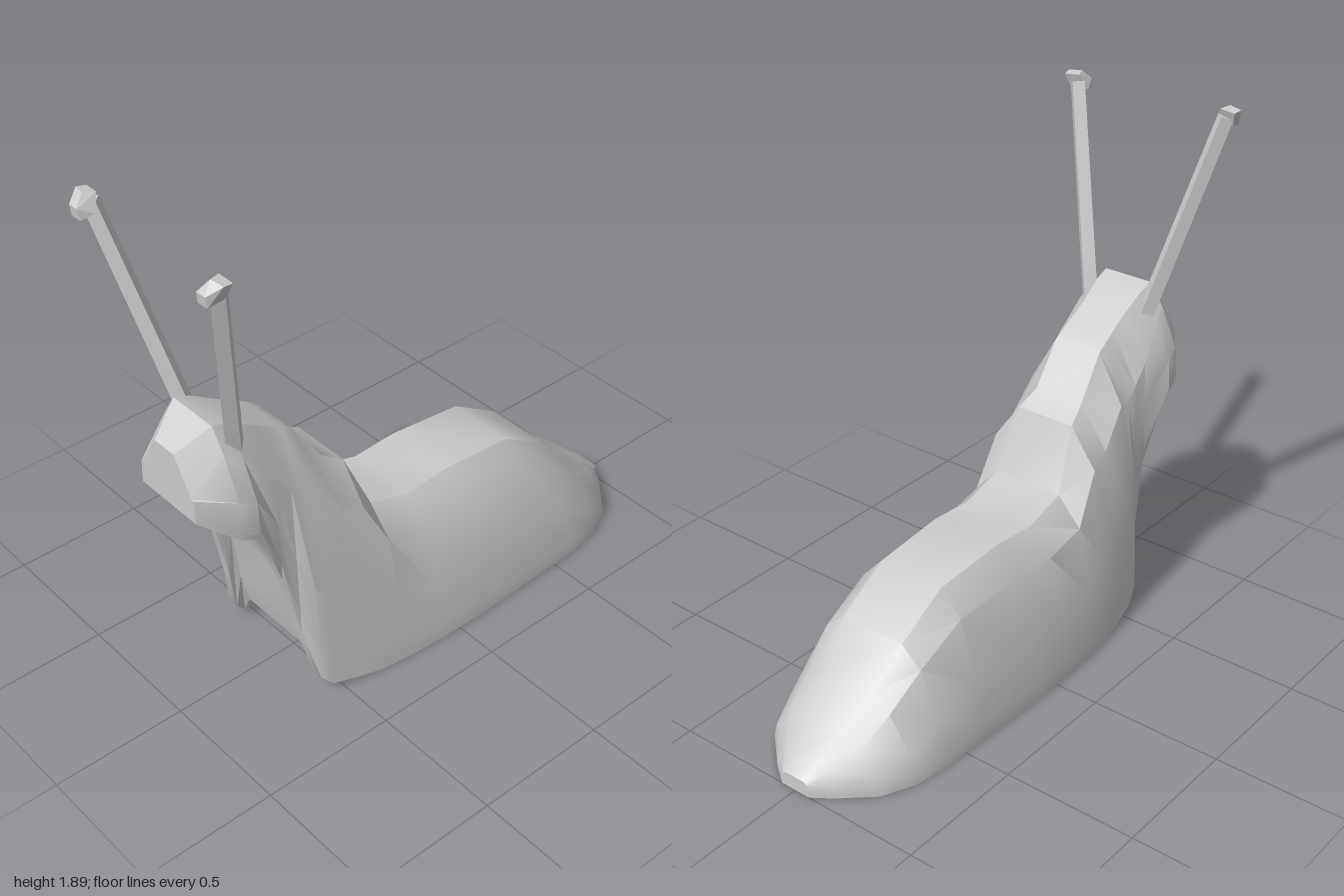
import * as THREE from 'three';
import { toCreasedNormals } from 'three/addons/utils/BufferGeometryUtils.js';
import { ConvexGeometry } from 'three/addons/geometries/ConvexGeometry.js';

const material = new THREE.MeshStandardMaterial({ color: 0xcccccc });

// Straight-line curve through [z, value] keys
function curve(keys) {
  return (z) => {
    const i = Math.max(1, keys.findIndex(([k]) => z <= k));
    const [z0, v0] = keys[i - 1], [z1, v1] = keys[i];
    return THREE.MathUtils.mapLinear(z, z0, z1, v0, v1);
  };
}

// Outlines of the body along z, tail to nose
const stations = [-1, -0.95, -0.85, -0.73, -0.6, -0.4, -0.1, 0.08, 0.25, 0.35, 0.43, 0.54, 0.585, 0.63, 0.69, 0.79, 0.85, 0.965];
const backY = curve([[-1, 0.055], [-0.85, 0.18], [-0.73, 0.28], [-0.6, 0.42], [-0.4, 0.54], [-0.1, 0.565],
  [0.08, 0.55], [0.25, 0.6], [0.35, 0.83], [0.43, 0.88], [0.54, 1.04], [0.79, 1.19], [0.85, 1.21], [0.965, 1.13]]);
const bellyY = curve([[-1, 0], [0.35, 0], [0.54, 0.03], [0.585, 0.08], [0.69, 0.56], [0.79, 0.8], [0.85, 0.825], [0.965, 0.91]]);
const panelY = curve([[-1, 0], [0.35, 0], [0.54, 0.1], [0.585, 0.25], [0.63, 0.5], [0.69, 0.7], [0.79, 0.8], [0.85, 0.825], [0.965, 0.91]]);
const panelX = curve([[-1, 0.03], [-0.73, 0.2], [0.54, 0.2], [0.63, 0.16], [0.69, 0.15], [0.79, 0.16], [0.965, 0.1]]);
const sideX = curve([[-1, 0.06], [-0.95, 0.13], [-0.85, 0.24], [-0.73, 0.295], [-0.6, 0.315], [0, 0.337],
  [0.25, 0.32], [0.43, 0.295], [0.585, 0.26], [0.63, 0.218], [0.69, 0.208], [0.79, 0.24], [0.85, 0.228], [0.965, 0.142]]);
const shoulderX = curve([[-1, 0.055], [-0.85, 0.16], [-0.6, 0.21], [-0.1, 0.23], [0.25, 0.235], [0.54, 0.2],
  [0.69, 0.195], [0.79, 0.17], [0.85, 0.155], [0.965, 0.13]]);
const topX = curve([[-1, 0.04], [-0.6, 0.13], [0.08, 0.14], [0.25, 0.14], [0.43, 0.1], [0.69, 0.09], [0.85, 0.1], [0.965, 0.05]]);

// Proportions that vary along the body
const footRatio = curve([[-1, 1], [0.65, 1], [0.79, 0.92], [0.965, 1]]);
const flankRatio = curve([[-1, 0.97], [-0.6, 0.89], [0.35, 0.9], [0.65, 0.96], [0.965, 0.97]]);
const shoulderRatio = curve([[-1, 0.84], [0.54, 0.82], [0.69, 0.72], [0.85, 0.78], [0.965, 0.42]]);

// Half section at z: throat panel, flange, foot edge, lower side, flank, shoulder, top edge
function halfSection(z) {
  const low = bellyY(z), height = backY(z) - low;
  const side = sideX(z), foot = side * footRatio(z), panel = panelX(z);
  return [
    [panel, panelY(z)],
    [THREE.MathUtils.lerp(panel, foot, 0.45), low],
    [foot, low],
    [side, low + height * 0.11],
    [side * flankRatio(z), low + height * 0.4],
    [shoulderX(z), low + height * shoulderRatio(z)],
    [topX(z), low + height],
  ];
}

// Mirrors each half section into a ring, skins the rings and closes both ends
function loftBody() {
  const positions = [], index = [];
  for (const z of stations) {
    const half = halfSection(z);
    const ring = [...half, ...half.map(([x, y]) => [-x, y]).reverse()];
    ring.forEach(([x, y]) => positions.push(x, y, z));
  }
  const n = 14, last = (stations.length - 1) * n;
  for (let i = 0; i < stations.length - 1; i++) {
    for (let j = 0; j < n; j++) {
      const a = i * n + j, b = i * n + (j + 1) % n;
      index.push(a, b, b + n, a, b + n, a + n);
    }
  }
  for (let j = 1; j < n - 1; j++) {
    index.push(0, j + 1, j);
    index.push(last, last + j, last + j + 1);
  }
  const geometry = new THREE.BufferGeometry();
  geometry.setAttribute('position', new THREE.Float32BufferAttribute(positions, 3));
  geometry.setIndex(index);
  return toCreasedNormals(geometry, 0.55);
}

// Square stalk with a small hooked tip
function createTentacle(side) {
  const group = new THREE.Group();
  group.name = side > 0 ? 'leftTentacle' : 'rightTentacle';

  const base = new THREE.Vector3(side * 0.125, 1.12, 0.787);
  const top = new THREE.Vector3(side * 0.315, 1.86, 0.94);
  const axis = top.clone().sub(base);
  const stalk = new THREE.Mesh(
    toCreasedNormals(new THREE.CylinderGeometry(0.032, 0.034, axis.length(), 4, 1), 0.5), material);
  stalk.name = 'stalk';
  stalk.position.copy(base).add(top).multiplyScalar(0.5);
  stalk.quaternion.setFromUnitVectors(new THREE.Vector3(0, 1, 0), axis.normalize());

  const tipPoints = [
    [0.275, 1.835, 0.95], [0.29, 1.82, 0.995], [0.335, 1.82, 0.995], [0.345, 1.835, 0.94], [0.295, 1.86, 1],
    [0.335, 1.86, 1], [0.3, 1.89, 0.925], [0.36, 1.885, 0.92], [0.365, 1.89, 0.955], [0.315, 1.895, 0.965],
  ].map(([x, y, z]) => new THREE.Vector3(side * x, y, z));
  const tip = new THREE.Mesh(new ConvexGeometry(tipPoints), material);
  tip.name = 'eyeTip';

  group.add(stalk, tip);
  return group;
}

export function createModel() {
  const model = new THREE.Group();
  model.name = 'slug';
  const body = new THREE.Mesh(loftBody(), material);
  body.name = 'body';
  model.add(body, createTentacle(1), createTentacle(-1));
  return model;
}
